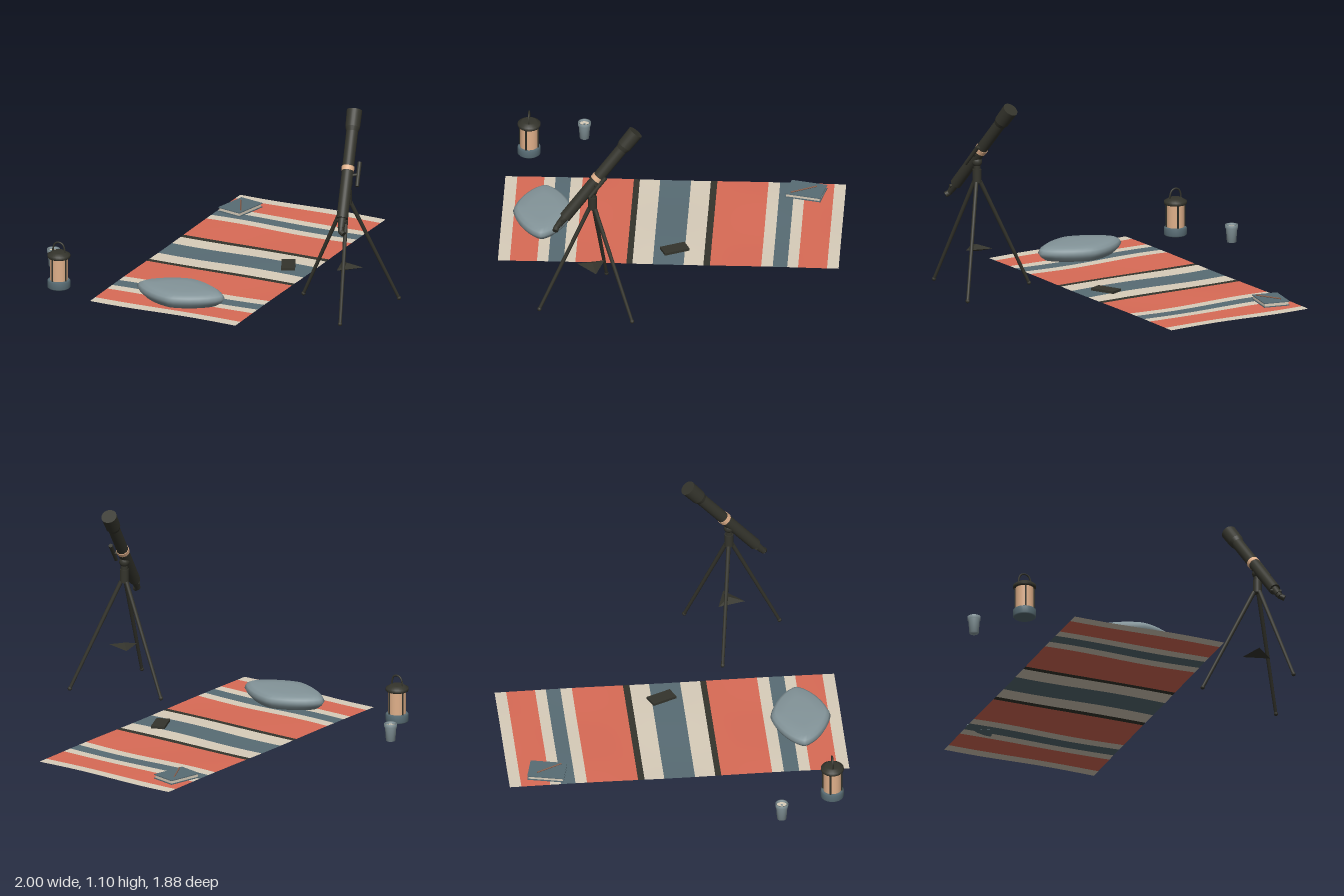
import * as THREE from 'three';

const V = (x, y, z) => new THREE.Vector3(x, y, z);
const mat = (name, color, side = THREE.FrontSide) => {
  const m = new THREE.MeshStandardMaterial({ color, side });
  m.name = name;
  return m;
};

export function createModel() {
  const red = mat('coral red', 0xd96b56, THREE.DoubleSide);
  const cream = mat('cream', 0xd8cdba, THREE.DoubleSide);
  const blue = mat('slate blue', 0x586c74, THREE.DoubleSide);
  const dark = mat('charcoal', 0x34342c, THREE.DoubleSide);
  const grey = mat('blue grey', 0x84959a, THREE.DoubleSide);
  const tan = mat('warm tan', 0xe0b08a);
  const wood = mat('pencil brown', 0x8c6350);

  const model = new THREE.Group();
  model.name = 'stargazingPicnic';
  const group = (name, x = 0, y = 0, z = 0, turn = 0) => {
    const g = new THREE.Group();
    g.name = name;
    g.position.set(x, y, z);
    g.rotation.y = turn;
    model.add(g);
    return g;
  };
  const add = (parent, name, geometry, material, x = 0, y = 0, z = 0) => {
    const m = new THREE.Mesh(geometry, material);
    m.name = name;
    m.position.set(x, y, z);
    parent.add(m);
    return m;
  };
  // Cylinder running from point a (radius ra) to point b (radius rb)
  const rod = (parent, name, a, b, ra, rb, material, sides = 16) => {
    const d = b.clone().sub(a);
    const m = add(parent, name, new THREE.CylinderGeometry(rb, ra, d.length(), sides), material);
    m.position.copy(a).addScaledVector(d, 0.5);
    m.quaternion.setFromUnitVectors(V(0, 1, 0), d.normalize());
    return m;
  };
  const lathe = (points, sides = 24, start = 0) =>
    new THREE.LatheGeometry(points.map(p => new THREE.Vector2(...p)), sides, start);

  // Striped blanket, gently rippled
  const blanket = group('blanket');
  const edges = [-0.944, -0.88, -0.72, -0.66, -0.58, -0.516, -0.233, -0.197, -0.088,
    0.083, 0.195, 0.228, 0.51, 0.575, 0.66, 0.722, 0.872, 0.938];
  const stripes = [cream, red, cream, blue, cream, red, dark, cream, blue,
    cream, dark, red, cream, blue, cream, red, cream];
  stripes.forEach((material, i) => {
    const depth = edges[i + 1] - edges[i];
    const g = new THREE.PlaneGeometry(0.893, depth, 20, Math.max(1, Math.round(depth / 0.04)));
    g.rotateX(-Math.PI / 2).translate(-0.0885, 0, edges[i] + depth / 2);
    const p = g.attributes.position;
    for (let k = 0; k < p.count; k++) {
      p.setY(k, 0.009 + 0.004 * Math.sin(p.getX(k) * 7 + 1) * Math.cos(p.getZ(k) * 6));
    }
    g.computeVertexNormals();
    add(blanket, 'blanketStripe', g, material);
  });

  // Cushion: stacked pointed-oval rings, closed at top and bottom
  const rings = [[0, 0.01], [0.82, 0.012], [0.94, 0.035], [1, 0.057], [0.95, 0.075], [0.84, 0.089], [0.5, 0.093], [0, 0.094]];
  const sides = 32, pos = [], index = [];
  const bend = v => Math.sign(v) * Math.abs(v) ** (2 / 1.5);
  rings.forEach(([s, y], r) => {
    for (let i = 0; i < sides; i++) {
      const a = i / sides * Math.PI * 2;
      pos.push(0.267 * s * bend(Math.cos(a)), y, 0.166 * s * bend(Math.sin(a)));
      if (r === 0) continue;
      const a0 = (r - 1) * sides + i, b0 = (r - 1) * sides + (i + 1) % sides;
      index.push(a0, a0 + sides, b0, b0, a0 + sides, b0 + sides);
    }
  });
  const pillow = new THREE.BufferGeometry();
  pillow.setAttribute('position', new THREE.Float32BufferAttribute(pos, 3));
  pillow.setIndex(index);
  pillow.computeVertexNormals();
  add(model, 'cushion', pillow, grey, -0.09, 0, 0.709);

  // Notebook with a pencil on top
  const book = group('notebook', -0.428, 0, -0.727, -0.22);
  add(book, 'backCover', new THREE.BoxGeometry(0.148, 0.005, 0.203), blue, 0, 0.0135, 0);
  add(book, 'pages', new THREE.BoxGeometry(0.138, 0.016, 0.193), cream, 0, 0.024, 0);
  add(book, 'frontCover', new THREE.BoxGeometry(0.148, 0.005, 0.203), blue, 0, 0.0345, 0);
  rod(model, 'pencil', V(-0.455, 0.041, -0.785), V(-0.385, 0.041, -0.645), 0.004, 0.004, wood, 6);

  // Phone
  const phone = group('phone', 0.208, 0.02, -0.032, 0.43);
  add(phone, 'phoneBody', new THREE.BoxGeometry(0.077, 0.014, 0.146), dark);

  // Cup with filled inside
  const cup = group('cup', -0.964, 0, 0.522);
  add(cup, 'cupWall', lathe([[0, 0.008], [0.026, 0.008], [0.032, 0.086], [0.036, 0.088],
    [0.036, 0.108], [0.029, 0.108], [0.028, 0.09]]), grey);
  add(cup, 'drink', new THREE.CylinderGeometry(0.029, 0.029, 0.004, 24), cream, 0, 0.094, 0);
  add(cup, 'centreDot', new THREE.CylinderGeometry(0.006, 0.006, 0.004, 12), grey, 0, 0.097, 0);

  // Lantern
  const lantern = group('lantern', -0.785, 0, 0.819);
  add(lantern, 'lanternBase', lathe([[0, 0.008], [0.058, 0.008], [0.064, 0.014], [0.064, 0.05],
    [0.058, 0.056], [0, 0.056]]), blue);
  add(lantern, 'glass', new THREE.CylinderGeometry(0.05, 0.05, 0.132, 24), tan, 0, 0.121, 0);
  for (let i = 0; i < 4; i++) {
    const a = (i + 0.5) * Math.PI / 2 - 0.5;
    add(lantern, 'cageBar', new THREE.CylinderGeometry(0.0045, 0.0045, 0.135, 8), dark,
      0.053 * Math.cos(a), 0.121, 0.053 * Math.sin(a));
  }
  add(lantern, 'lanternCap', lathe([[0, 0.184], [0.06, 0.184], [0.064, 0.19], [0.063, 0.203],
    [0.045, 0.213], [0.038, 0.219], [0, 0.219]]), dark);
  const handlePath = new THREE.CatmullRomCurve3([V(-0.035, 0.205, 0), V(-0.035, 0.235, 0),
    V(-0.023, 0.263, 0), V(0, 0.272, 0), V(0.023, 0.263, 0), V(0.035, 0.235, 0), V(0.035, 0.205, 0)]);
  add(lantern, 'lanternHandle', new THREE.TubeGeometry(handlePath, 24, 0.005, 8), dark);

  // Tripod
  const tripod = group('tripod', 0.78, 0, 0.395);
  for (const [x, z] of [[-0.3, -0.063], [0.205, -0.228], [0.097, 0.289]]) {
    rod(tripod, 'leg', V(x, 0.018, z), V(x * 0.06, 0.622, z * 0.06), 0.009, 0.012, dark, 10);
    add(tripod, 'foot', new THREE.SphereGeometry(0.012, 10, 8), dark, x, 0.018, z);
  }
  add(tripod, 'hub', new THREE.CylinderGeometry(0.025, 0.025, 0.075, 16), dark, 0, 0.655, 0);
  add(tripod, 'neck', new THREE.CylinderGeometry(0.02, 0.02, 0.06, 16), dark, 0, 0.715, 0);
  add(tripod, 'mountHead', new THREE.SphereGeometry(0.029, 16, 12), dark, 0, 0.735, 0);
  const tray = lathe([[0, -0.02], [0.09, 0], [0, 0.02]], 3, 105 * Math.PI / 180).toNonIndexed();
  tray.computeVertexNormals();
  add(tripod, 'accessoryTray', tray, dark, 0, 0.245, 0);

  // Telescope: parts placed by distance along the optical axis
  const scope = group('telescope');
  const low = V(0.822, 0.583, 0.545), high = V(0.709, 1.073, 0.16);
  const length = low.distanceTo(high);
  const axis = high.clone().sub(low).normalize();
  const at = s => low.clone().addScaledVector(axis, s);
  const part = (name, s0, s1, r0, r1, material = dark) =>
    rod(scope, name, at(s0), at(s1), r0, r1, material, 24);
  part('mainTube', 0, length - 0.09, 0.032, 0.033);
  part('shieldCollar', length - 0.125, length - 0.1, 0.033, 0.041);
  part('dewShield', length - 0.1, length, 0.041, 0.043);
  part('tubeBand', 0.278, 0.304, 0.0355, 0.0355, tan);
  part('focuser', -0.055, 0.01, 0.019, 0.022);
  part('eyepieceHolder', -0.08, -0.05, 0.016, 0.016);
  const end = at(-0.075);
  rod(scope, 'eyepiece', end, end.clone().add(V(0.022, -0.012, 0.008)), 0.016, 0.016, dark);
  const knob = at(-0.015);
  rod(scope, 'focusKnob', knob.clone().add(V(-0.03, 0, -0.006)), knob.clone().add(V(0.03, 0, 0.006)), 0.009, 0.009, dark);

  // Finder scope and its bracket
  const f0 = V(0.846, 0.73, 0.408), f1 = V(0.82, 0.84, 0.322);
  rod(scope, 'finderScope', f0, f1, 0.01, 0.012, dark);
  rod(scope, 'finderBracket', at(0.25), f0.clone().lerp(f1, 0.5), 0.008, 0.008, dark, 8);
  return model;
}
